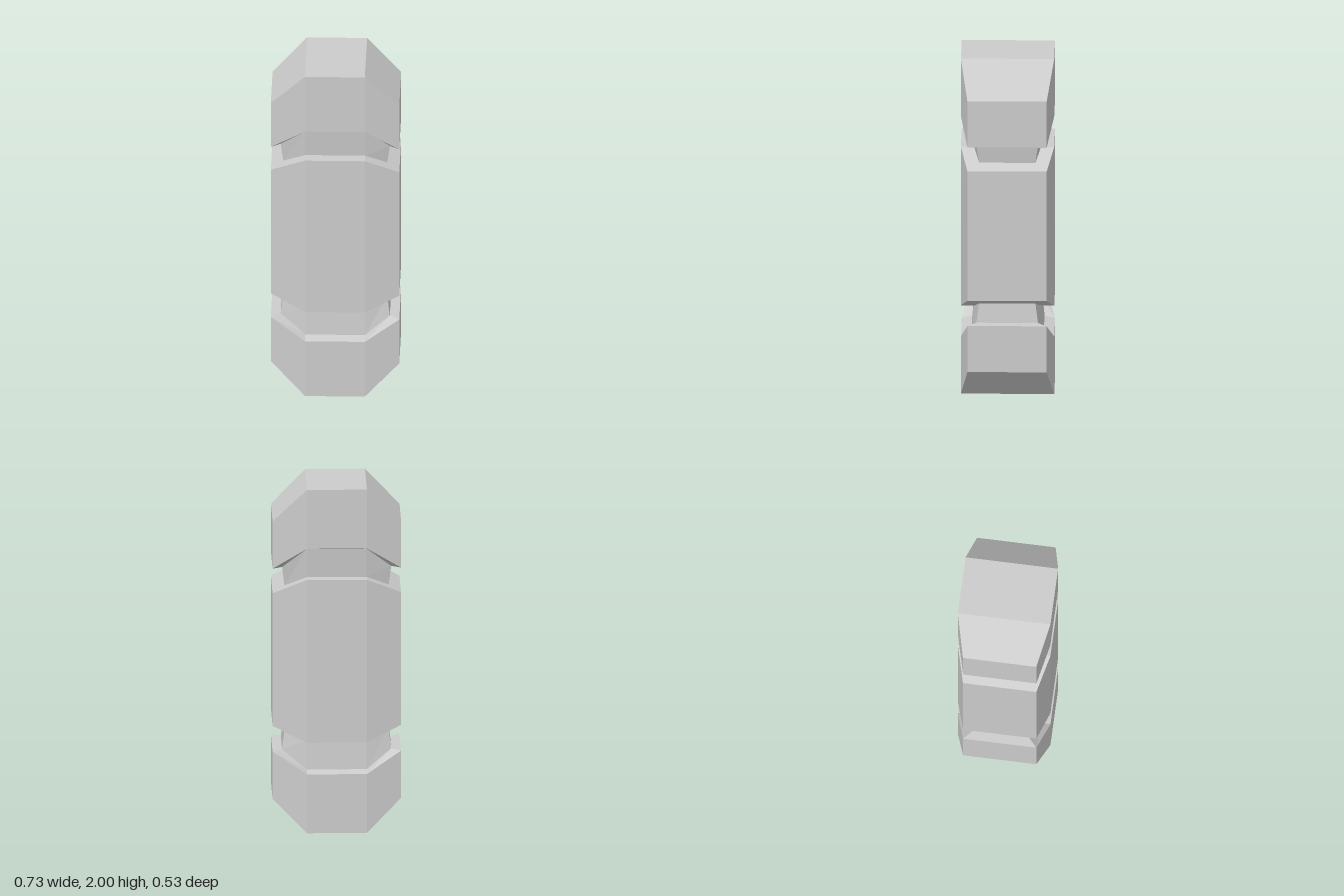
import * as THREE from 'three';

// Eight-sided section: the four middle corners sit at height yMid, the four side corners at ySide.
function section(yMid, ySide, xMid, xSide, zMid, zLeft, zRight) {
  return [
    [xSide, ySide, zLeft], [xSide, ySide, -zLeft], [xMid, yMid, -zMid], [-xMid, yMid, -zMid],
    [-xSide, ySide, -zRight], [-xSide, ySide, zRight], [-xMid, yMid, zMid], [xMid, yMid, zMid],
  ].map((p) => new THREE.Vector3(...p));
}

const outer = (yMid, ySide) => section(yMid, ySide, 0.17, 0.365, 0.265, 0.225, 0.21);
const neckWide = (yMid, ySide) => section(yMid, ySide, 0.17, 0.31, 0.205, 0.175, 0.16);
const neckThin = (yMid, ySide) => section(yMid, ySide, 0.17, 0.296, 0.19, 0.16, 0.15);

// Closed faceted solid through a list of sections, from bottom to top.
function loft(rings) {
  const pts = [];
  const quad = (a, b, c, d) => pts.push(a, b, c, a, c, d);
  for (let r = 0; r < rings.length - 1; r++) {
    const lo = rings[r], hi = rings[r + 1];
    for (let k = 0; k < 8; k++) {
      const n = (k + 1) % 8;
      quad(lo[k], lo[n], hi[n], hi[k]);
    }
  }
  const first = rings[0], last = rings[rings.length - 1];
  for (const [a, b, c, d] of [[0, 1, 2, 7], [7, 2, 3, 6], [6, 3, 4, 5]]) {
    quad(last[a], last[b], last[c], last[d]);
    quad(first[d], first[c], first[b], first[a]);
  }
  const geometry = new THREE.BufferGeometry().setFromPoints(pts);
  geometry.computeVertexNormals();
  return geometry;
}

// Same sections turned upside down about mid height.
const flip = (rings) =>
  rings.map((ring) => ring.map((p) => new THREE.Vector3(p.x, 2 - p.y, p.z))).reverse();

export function createModel() {
  const group = new THREE.Group();
  const material = new THREE.MeshStandardMaterial({ color: 0xcccccc, flatShading: true });
  const add = (name, rings) => {
    const mesh = new THREE.Mesh(loft(rings), material);
    mesh.name = name;
    group.add(mesh);
  };

  // Central body with sloping shoulders
  add('body', [outer(0.527, 0.617), outer(1.475, 1.39)]);

  // Tapered necks set into the grooves
  const neck = [neckThin(1.475, 1.42), neckWide(1.642, 1.531)];
  add('upperNeck', neck);
  add('lowerNeck', flip(neck));

  // Chamfered end caps with a slightly dished inner rim
  const cap = [neckWide(1.642, 1.531), outer(1.657, 1.533), outer(2, 1.808)];
  add('topCap', cap);
  add('bottomCap', flip(cap));

  return group;
}
